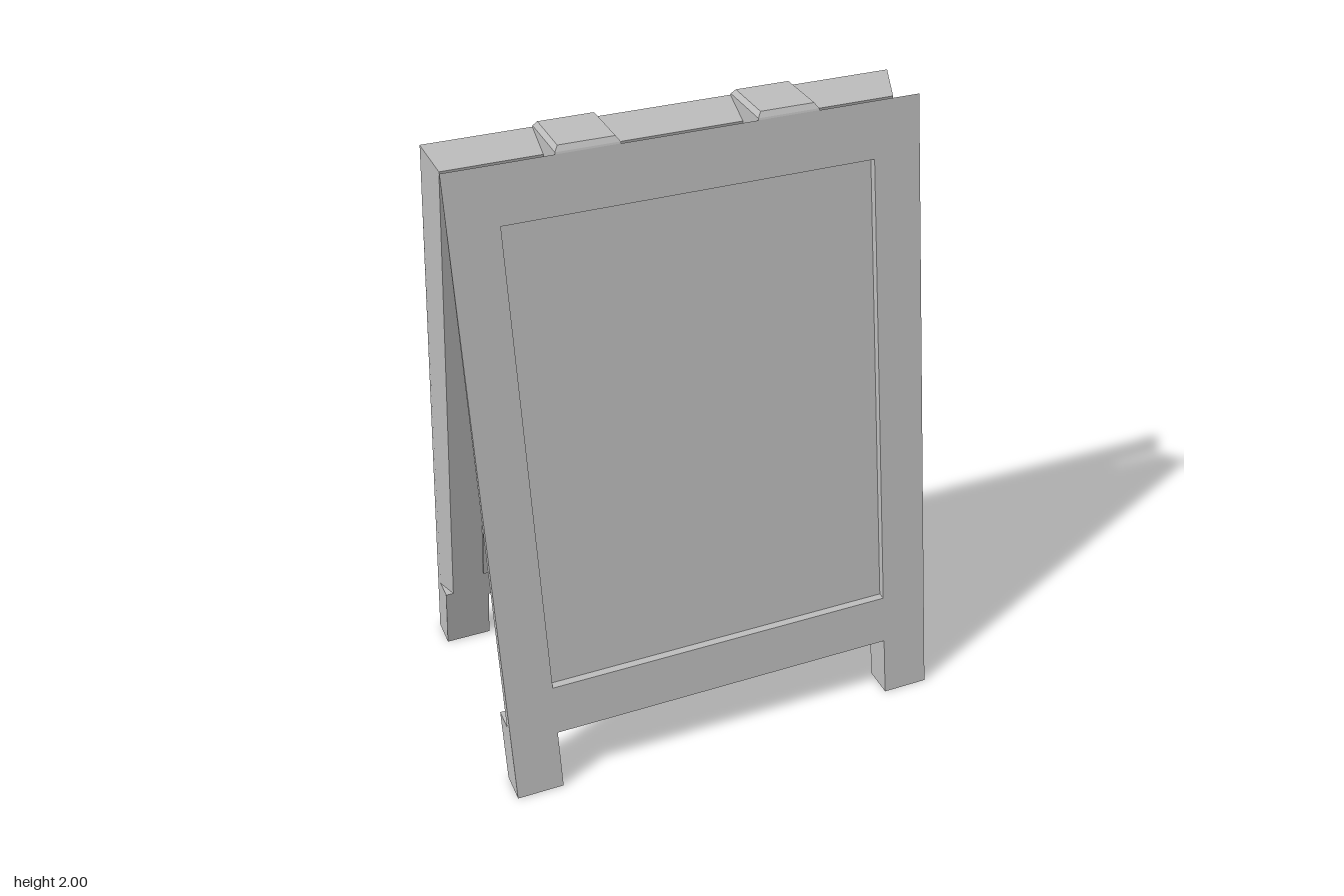
import * as THREE from 'three';

const SLOPE = 0.177;  // how far a panel leans per unit of height
const T = 0.1;        // frame thickness
const W = 0.72, IN = 0.57, TOP = 1.98, STEP = 0.24;

const grey = new THREE.MeshStandardMaterial({ color: 0xbcbcbc });
grey.name = 'grey';

function add(group, name, geometry) {
  const mesh = new THREE.Mesh(geometry, grey);
  mesh.name = name;
  group.add(mesh);
  return mesh;
}

// Maps (x, depth, height) onto the leaning panel, with a sloped top edge
function lean(geometry) {
  const p = geometry.attributes.position;
  for (let i = 0; i < p.count; i++) {
    const d = p.getY(i);
    let y = p.getZ(i);
    if (y > TOP - 0.01) y -= 0.45 * d;
    p.setXYZ(i, p.getX(i), y, 0.45 - SLOPE * y - d);
  }
  geometry.computeVertexNormals();
  return geometry;
}

function slab(halfX, y0, y1, d0, d1) {
  const g = new THREE.BoxGeometry(halfX * 2, d1 - d0, y1 - y0);
  return lean(g.translate(0, (d0 + d1) / 2, (y0 + y1) / 2));
}

function extrude(points, depth) {
  const shape = new THREE.Shape(points.map(([x, y]) => new THREE.Vector2(x, y)));
  return new THREE.ExtrudeGeometry(shape, { depth, bevelEnabled: false });
}

// Upright with a shallow chamfer that widens toward the top
function upright(side) {
  const g = extrude([[IN, 0], [W, 0], [W, 0.03], [W - 0.025, T], [IN, T]].map(([x, d]) => [x * side, d]), TOP - STEP);
  const p = g.attributes.position;
  for (let i = 0; i < p.count; i++) {
    if (p.getZ(i) > 1 && Math.abs(p.getY(i) - 0.03) < 1e-4) p.setY(i, 0.002);
  }
  return lean(g.translate(0, 0, STEP));
}

function foot(side) {
  const g = new THREE.BoxGeometry(W - IN, T, STEP);
  return lean(g.translate(side * (W + IN) / 2, T / 2, STEP / 2));
}

// Block whose half sizes change from bottom to top
function taper(x0, z0, x1, z1, y0, y1) {
  const g = new THREE.BoxGeometry(2, 1, 2);
  const p = g.attributes.position;
  for (let i = 0; i < p.count; i++) {
    const up = p.getY(i) > 0;
    p.setXYZ(i, p.getX(i) * (up ? x1 : x0), up ? y1 : y0, p.getZ(i) * (up ? z1 : z0));
  }
  g.computeVertexNormals();
  return g;
}

function panel(name) {
  const g = new THREE.Group();
  g.name = name;
  for (const side of [-1, 1]) {
    const label = side > 0 ? 'left' : 'right';
    add(g, label + 'Upright', upright(side));
    add(g, label + 'Foot', foot(side));
  }
  add(g, 'topRail', slab(IN, 1.81, TOP, 0, T));
  add(g, 'bottomRail', slab(IN, 0.195, 0.355, 0, T));
  add(g, 'writingBoard', slab(IN, 0.355, 1.81, 0.024, T));
  add(g, 'backingBoard', slab(0.59, 0.31, 1.81, T, T + 0.01));
  return g;
}

export function createModel() {
  const model = new THREE.Group();
  model.name = 'sandwichBoard';

  // Two identical leaning panels
  model.add(panel('frontPanel'));
  const back = panel('backPanel');
  back.rotation.y = Math.PI;
  model.add(back);

  // Hinges: a wedge filling the gap, with a bevelled cap
  const half = [[0.02, 1.86], [0.008, 1.935], [0.1, 1.977], [0.097, 1.985]];
  const profile = [...half, ...half.map(([z, y]) => [-z, y]).reverse()];
  for (const side of [-1, 1]) {
    const hinge = new THREE.Group();
    hinge.name = side > 0 ? 'leftHinge' : 'rightHinge';
    add(hinge, 'hingeWedge', extrude(profile, 0.19).rotateY(Math.PI / 2).translate(-0.095, 0, 0));
    add(hinge, 'hingeCap', taper(0.095, 0.097, 0.084, 0.086, 1.985, 2));
    hinge.position.x = side * 0.302;
    model.add(hinge);
  }

  // Stay between the panels, with a bevelled top
  const stay = new THREE.Group();
  stay.name = 'stay';
  add(stay, 'stayBar', taper(0.07, 0.264, 0.07, 0.249, 0.43, 0.515));
  add(stay, 'stayTop', taper(0.07, 0.249, 0.062, 0.247, 0.515, 0.525));
  model.add(stay);

  return model;
}
